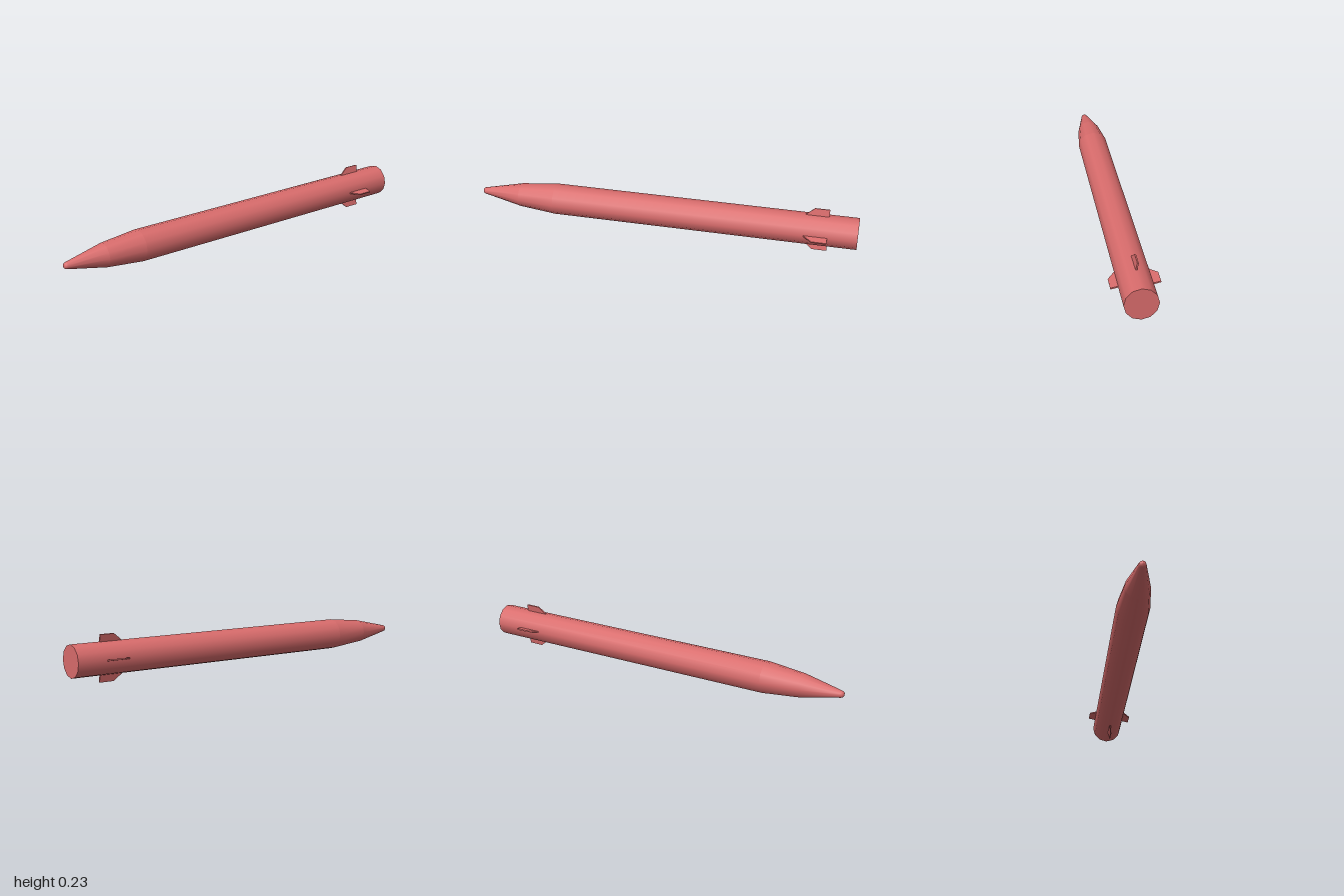
import * as THREE from 'three';

const SIDES = 12;
const RADIUS = 0.081;
const AXIS_Y = 0.119;

// Revolve a [radius, z] profile around the long axis
function revolve(profile, material, name) {
  const points = profile.map(([r, z]) => new THREE.Vector2(r, z));
  const geometry = new THREE.LatheGeometry(points, SIDES).rotateX(Math.PI / 2);
  const mesh = new THREE.Mesh(geometry, material);
  mesh.name = name;
  return mesh;
}

// Swept plate fin standing on the top of the body, leaning by tilt
function finGeometry(tilt) {
  const thickness = 0.007;
  const shape = new THREE.Shape();
  shape.moveTo(-0.85, -0.006);
  shape.lineTo(-0.73, -0.006);
  shape.lineTo(-0.73, 0);
  shape.lineTo(-0.775, 0.037);
  shape.lineTo(-0.85, 0.037);
  shape.closePath();
  return new THREE.ExtrudeGeometry(shape, { depth: thickness, bevelEnabled: false })
    .translate(0, 0, -thickness / 2)
    .rotateY(-Math.PI / 2)
    .rotateZ(tilt)
    .translate(-0.001, RADIUS - 0.001, 0);
}

export function createModel() {
  const red = new THREE.MeshStandardMaterial({ color: 0xd96c6c });
  red.name = 'soft red';

  const model = new THREE.Group();
  model.name = 'rocket';
  const hull = new THREE.Group();
  hull.name = 'hull';
  hull.position.y = AXIS_Y;
  model.add(hull);

  // Straight tube, two-step tapered nose and blunt tip
  hull.add(revolve([[RADIUS, -1], [RADIUS, 0.59]], red, 'body'));
  hull.add(revolve([[RADIUS, 0.59], [0.061, 0.785]], red, 'noseBase'));
  hull.add(revolve([[0.061, 0.785], [0.018, 0.984]], red, 'noseCone'));
  hull.add(revolve([[0.018, 0.984], [0.016, 0.992], [0.01, 0.998], [0, 1]], red, 'noseTip'));

  // Flat tail end
  const tail = new THREE.Mesh(
    new THREE.CircleGeometry(RADIUS, SIDES).rotateY(Math.PI), red);
  tail.name = 'tailCap';
  tail.position.z = -1;
  hull.add(tail);

  // Four fins; neighbouring pairs lean opposite ways
  ['topFin', 'rightFin', 'bottomFin', 'leftFin'].forEach((name, i) => {
    const fin = new THREE.Mesh(finGeometry(i % 2 ? -0.2 : 0.2), red);
    if (i % 2) fin.geometry.translate(0.002, 0, 0);
    fin.name = name;
    fin.rotation.z = i * Math.PI / 2;
    hull.add(fin);
  });

  return model;
}
